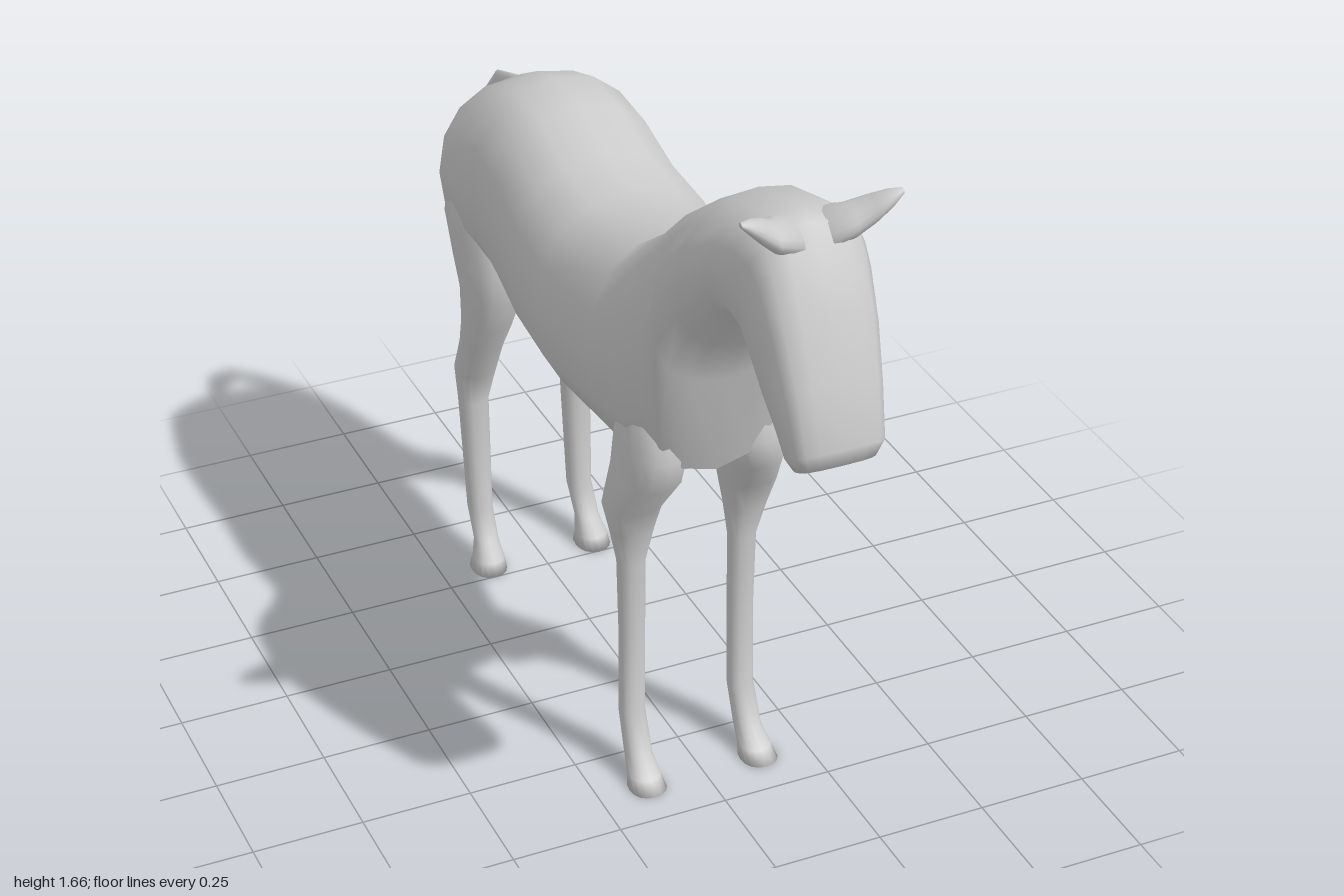
import * as THREE from 'three';

const SEGMENTS = 16;
const V = (x, y, z) => new THREE.Vector3(x, y, z);
const power = (t, n) => Math.sign(t) * Math.pow(Math.abs(t), 2 / n);

// Skin closed superellipse rings { c, u, v, n }; u x v points along the travel.
function loft(name, rings, material) {
  const pos = [], index = [], S = SEGMENTS;
  for (const { c, u, v, n = 2 } of rings) {
    for (let j = 0; j < S; j++) {
      const a = (j / S) * Math.PI * 2;
      const p = c.clone().addScaledVector(u, power(Math.cos(a), n)).addScaledVector(v, power(Math.sin(a), n));
      pos.push(p.x, p.y, p.z);
    }
  }
  for (let i = 0; i < rings.length - 1; i++) {
    for (let j = 0; j < S; j++) {
      const k = (j + 1) % S, a = i * S + j, b = i * S + k;
      index.push(a, b, a + S, b, b + S, a + S);
    }
  }
  // end caps
  const first = rings.length * S, last = first + 1, end = (rings.length - 1) * S;
  pos.push(...rings[0].c.toArray(), ...rings[rings.length - 1].c.toArray());
  for (let j = 0; j < S; j++) {
    const k = (j + 1) % S;
    index.push(first, k, j, last, end + j, end + k);
  }
  const geometry = new THREE.BufferGeometry();
  geometry.setAttribute('position', new THREE.Float32BufferAttribute(pos, 3));
  geometry.setIndex(index);
  geometry.computeVertexNormals();
  const mesh = new THREE.Mesh(geometry, material);
  mesh.name = name;
  return mesh;
}

// Ring spanning two points of the middle plane, with half width w.
const spanRing = ([z1, y1, z2, y2, w, n]) => ({
  c: V(0, (y1 + y2) / 2, (z1 + z2) / 2),
  u: V(w, 0, 0),
  v: V(0, (y1 - y2) / 2, (z1 - z2) / 2),
  n,
});

// Level leg ring: height, front z, back z, inner x, outer x.
const legRing = (side) => ([y, zf, zb, xi, xo]) => ({
  c: V(side * (xi + xo) / 2, y, (zf + zb) / 2),
  u: V((xo - xi) / 2, 0, 0),
  v: V(0, 0, (zf - zb) / 2),
  n: 2.3,
});

// topZ, topY, bottomZ, bottomY, half width, squareness
const TRUNK = [
  [-0.725, 1.11, -0.717, 1.0, 0.06, 2],
  [-0.695, 1.18, -0.69, 0.92, 0.16, 2.2],
  [-0.62, 1.257, -0.63, 0.84, 0.2, 2.3],
  [-0.52, 1.31, -0.53, 0.81, 0.2, 2.3],
  [-0.41, 1.345, -0.43, 0.84, 0.205, 2.3],
  [-0.28, 1.333, -0.3, 0.81, 0.21, 2.3],
  [-0.14, 1.285, -0.18, 0.78, 0.217, 2.3],
  [0, 1.27, 0, 0.77, 0.224, 2.3],
  [0.2, 1.27, 0.22, 0.765, 0.195, 2.3],
  [0.34, 1.37, 0.35, 0.775, 0.195, 2.3],
  [0.43, 1.46, 0.43, 0.82, 0.175, 2.3],
  [0.5, 1.505, 0.455, 1.05, 0.17, 2.3],
  [0.6, 1.57, 0.55, 1.19, 0.165, 2.3],
];
const HEAD = [
  [0.7, 1.597, 0.64, 1.31, 0.145, 2.3],
  [0.78, 1.62, 0.7, 1.33, 0.14, 2.4],
  [0.835, 1.61, 0.755, 1.31, 0.13, 2.6],
  [0.87, 1.57, 0.79, 1.27, 0.125, 2.8],
  [0.92, 1.46, 0.84, 1.22, 0.118, 3],
  [0.965, 1.33, 0.885, 1.175, 0.108, 3],
  [1.0, 1.2, 0.905, 1.15, 0.1, 3],
  [0.985, 1.155, 0.92, 1.132, 0.085, 3],
];
const TAIL = [
  [-0.62, 1.2, -0.6, 1.26, 0.02],
  [-0.7, 1.17, -0.76, 1.205, 0.014],
  [-0.8, 1.09, -0.84, 1.12, 0.011],
  [-0.855, 1.02, -0.895, 1.04, 0.011],
  [-0.89, 0.87, -0.945, 0.9, 0.013],
  [-0.93, 0.66, -0.998, 0.67, 0.017],
  [-0.95, 0.57, -0.985, 0.58, 0.014],
  [-0.965, 0.5, -0.973, 0.5, 0.004],
];
const FRONT_LEG = [
  [1.0, 0.42, 0.25, 0.05, 0.165],
  [0.86, 0.438, 0.235, 0.04, 0.178],
  [0.79, 0.428, 0.238, 0.05, 0.185],
  [0.7, 0.36, 0.246, 0.07, 0.2],
  [0.63, 0.338, 0.252, 0.085, 0.182],
  [0.54, 0.315, 0.258, 0.1, 0.162],
  [0.35, 0.314, 0.262, 0.101, 0.158],
  [0.15, 0.318, 0.264, 0.102, 0.16],
  [0.06, 0.36, 0.295, 0.103, 0.162],
  [0.025, 0.4, 0.325, 0.098, 0.17],
  [0, 0.428, 0.335, 0.093, 0.177],
];
const HIND_LEG = [
  [1.08, -0.47, -0.69, 0.04, 0.185],
  [0.95, -0.445, -0.695, 0.03, 0.196],
  [0.85, -0.437, -0.655, 0.04, 0.19],
  [0.78, -0.44, -0.615, 0.052, 0.186],
  [0.69, -0.477, -0.607, 0.07, 0.182],
  [0.62, -0.515, -0.625, 0.08, 0.178],
  [0.52, -0.56, -0.675, 0.085, 0.175],
  [0.43, -0.598, -0.668, 0.095, 0.165],
  [0.14, -0.58, -0.642, 0.1, 0.158],
  [0.07, -0.545, -0.595, 0.102, 0.16],
  [0.03, -0.51, -0.592, 0.097, 0.17],
  [0, -0.498, -0.602, 0.093, 0.177],
];
// x, y, z, half height, half depth
const EAR = [
  [0.03, 1.575, 0.8, 0.035, 0.065],
  [0.08, 1.592, 0.825, 0.032, 0.045],
  [0.115, 1.622, 0.85, 0.027, 0.032],
  [0.145, 1.645, 0.865, 0.018, 0.02],
  [0.168, 1.658, 0.87, 0.006, 0.008],
];

export function createModel() {
  const coat = new THREE.MeshStandardMaterial({ color: 0xcccccc });
  coat.name = 'grey coat';
  const model = new THREE.Group();
  model.name = 'horse';

  model.add(loft('bodyNeckAndHead', [...TRUNK, ...HEAD].map(spanRing), coat));
  model.add(loft('tail', TAIL.map(spanRing), coat));

  for (const side of [1, -1]) {
    const label = side > 0 ? 'left' : 'right';
    model.add(loft(label + 'FrontLeg', FRONT_LEG.map(legRing(side)), coat));
    model.add(loft(label + 'HindLeg', HIND_LEG.map(legRing(side)), coat));
    const ear = EAR.map(([x, y, z, h, d]) => ({ c: V(side * x, y, z), u: V(0, h, 0), v: V(0, 0, side * d) }));
    model.add(loft(label + 'Ear', ear, coat));
  }
  return model;
}
